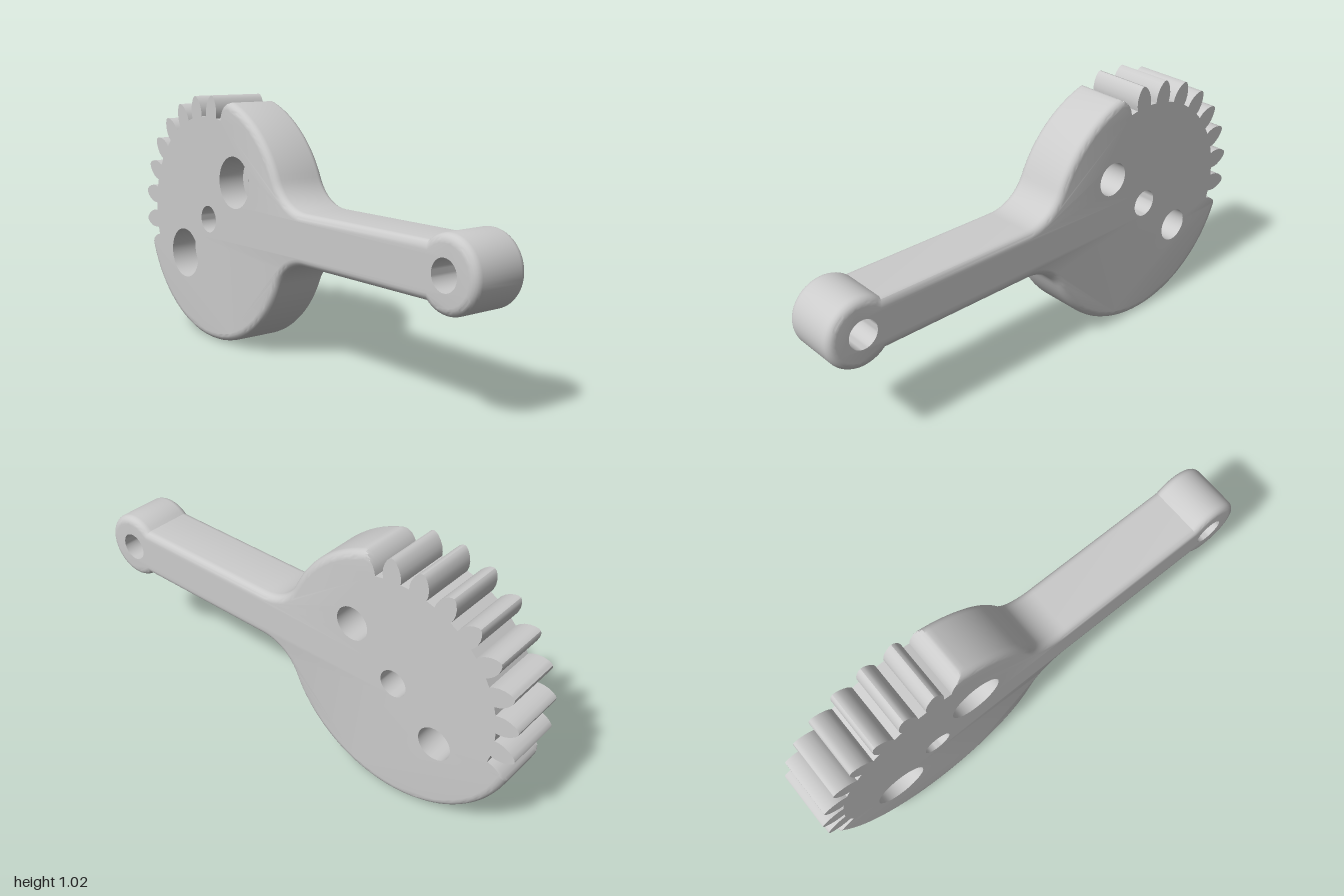
import * as THREE from 'three';
import { mergeGeometries, toCreasedNormals } from 'three/addons/utils/BufferGeometryUtils.js';

const CX = -0.497, CY = 0.511, R = 0.509;       // gear disc
const HALF = 0.117, ROUND = 0.03;               // half thickness, edge rounding
const ARM = 0.1, KNOB_X = 0.865, KNOB_R = 0.135; // lever
const FILLET_X = 0.13;
const rad = THREE.MathUtils.degToRad;
const TOOTH_START = rad(71.6), PITCH = rad(14.4), TEETH = 9;
// tooth flank: [radius, half width] from tip to root
const FLANK = [[R, 0], [0.506, 0.009], [0.496, 0.019], [0.48, 0.029], [0.46, 0.036], [0.44, 0.038], [0.422, 0.036]];

// Outline points; "slack" is how far an edge may be inset before the point moves
function makeOutline() {
  const pts = [];
  const arc = (x, y, r, a0, a1, n) => {
    for (let i = 0; i <= n; i++) {
      const a = a0 + (a1 - a0) * i / n;
      pts.push({ x: x + r * Math.cos(a), y: y + r * Math.sin(a), slack: 0 });
    }
  };
  // fillet radius that touches both the disc and the arm
  const d = FILLET_X - CX;
  const fr = (d * d + ARM * ARM - R * R) / (2 * (R - ARM));
  const t = Math.atan2(ARM + fr, d);
  const k = Math.PI - Math.asin(ARM / KNOB_R);
  const end = TOOTH_START + TEETH * PITCH;

  arc(CX, CY, R, end, 2 * Math.PI - t, 48);
  pts.pop();
  arc(FILLET_X, CY - ARM - fr, fr, Math.PI - t, Math.PI / 2, 12);
  arc(KNOB_X, CY, KNOB_R, -k, k, 40);
  arc(FILLET_X, CY + ARM + fr, fr, -Math.PI / 2, t - Math.PI, 12);
  pts.pop();
  arc(CX, CY, R, t, TOOTH_START, 20);

  // normals of the rounded stretch, mitred at corners
  pts.forEach((p, i) => {
    const a = pts[Math.max(i - 1, 0)], b = pts[Math.min(i + 1, pts.length - 1)];
    if (a === p || b === p) {
      p.nx = (p.x - CX) / R;
      p.ny = (p.y - CY) / R;
      return;
    }
    const n1 = new THREE.Vector2(p.y - a.y, a.x - p.x).normalize();
    const n2 = new THREE.Vector2(b.y - p.y, p.x - b.x).normalize();
    const m = 1 + n1.dot(n2);
    p.nx = (n1.x + n2.x) / m;
    p.ny = (n1.y + n2.y) / m;
  });

  // teeth; the first and last are half teeth that blend into the disc
  for (let i = 0; i <= TEETH; i++) {
    const half = i === 0 || i === TEETH;
    const add = ([r, w], side) => {
      const a = TOOTH_START + i * PITCH + side * w / r;
      const nx = Math.cos(a), ny = Math.sin(a);
      pts.push({ x: CX + r * nx, y: CY + r * ny, nx, ny, slack: half ? R - r : Infinity });
    };
    if (i > 0) FLANK.slice(1).reverse().forEach(f => add(f, -1));
    if (!half) add(FLANK[0], 0);
    if (i < TEETH) FLANK.slice(1).forEach(f => add(f, 1));
  }
  return pts;
}

const inset = (pts, amount) => pts.map(p => {
  const o = Math.max(0, amount - p.slack);
  return new THREE.Vector2(p.x - p.nx * o, p.y - p.ny * o);
});

// Side wall lofted through inset copies of the outline
function makeWall(outline) {
  const layers = [];
  const steps = 5;
  for (const side of [-1, 1]) {
    for (let i = 0; i <= steps; i++) {
      const a = (side < 0 ? i : steps - i) / steps * Math.PI / 2;
      layers.push({ z: side * (HALF - ROUND + ROUND * Math.cos(a)), pts: inset(outline, ROUND * (1 - Math.sin(a))) });
    }
  }
  const n = outline.length, pos = [], idx = [];
  layers.forEach(({ z, pts }, j) => pts.forEach((p, i) => {
    pos.push(p.x, p.y, z);
    if (j === layers.length - 1) return;
    const a = j * n + i, b = j * n + (i + 1) % n;
    idx.push(a, b, b + n, a, b + n, a + n);
  }));
  const g = new THREE.BufferGeometry();
  g.setAttribute('position', new THREE.Float32BufferAttribute(pos, 3));
  g.setIndex(idx);
  return g.toNonIndexed();
}

// Flat face with holes, at the front (side 1) or back (side -1)
function makeCap(outline, holes, side) {
  const shape = new THREE.Shape(inset(outline, ROUND));
  for (const h of holes) {
    const r = side > 0 && h.bore ? h.bore : h.r;
    const ring = [];
    for (let i = 0; i < 40; i++) {
      const a = -i / 40 * Math.PI * 2;
      ring.push(new THREE.Vector2(h.x + r * Math.cos(a), h.y + r * Math.sin(a)));
    }
    shape.holes.push(new THREE.Path(ring));
  }
  const g = new THREE.ShapeGeometry(shape).translate(0, 0, side * HALF);
  if (side < 0) g.index.array.reverse();
  const out = g.toNonIndexed();
  out.deleteAttribute('uv');
  out.deleteAttribute('normal');
  return out;
}

export function createModel() {
  const model = new THREE.Group();
  model.name = 'gearLever';
  const material = new THREE.MeshStandardMaterial({ color: 0xcccccc });
  const inner = new THREE.MeshStandardMaterial({ color: 0xcccccc, side: THREE.DoubleSide });

  const holes = [
    { name: 'pivotHole', x: CX, y: CY, r: 0.055 },
    { name: 'upperScrewHole', x: CX + 0.19, y: CY + 0.17, r: 0.068, bore: 0.104 },
    { name: 'lowerScrewHole', x: CX - 0.19, y: CY - 0.17, r: 0.068, bore: 0.104 },
    { name: 'knobHole', x: KNOB_X - 0.003, y: CY, r: 0.057 },
  ];

  // Disc, teeth, arm and knob as one solid
  const outline = makeOutline();
  const bodyGeo = mergeGeometries([makeWall(outline), makeCap(outline, holes, 1), makeCap(outline, holes, -1)]);
  const body = new THREE.Mesh(toCreasedNormals(bodyGeo, 0.6), material);
  body.name = 'gearBody';
  model.add(body);

  // Hole linings; the screw holes are counterbored from the front
  for (const h of holes) {
    const ledge = HALF - 0.115;
    const profile = h.bore
      ? [[h.bore, HALF], [h.bore, ledge], [h.r, ledge], [h.r, -HALF]]
      : [[h.r, HALF], [h.r, -HALF]];
    const geo = new THREE.LatheGeometry(profile.map(p => new THREE.Vector2(...p)), 40).rotateX(Math.PI / 2);
    const lining = new THREE.Mesh(toCreasedNormals(geo, 0.6), inner);
    lining.name = h.name;
    lining.position.set(h.x, h.y, 0);
    model.add(lining);
  }
  return model;
}
